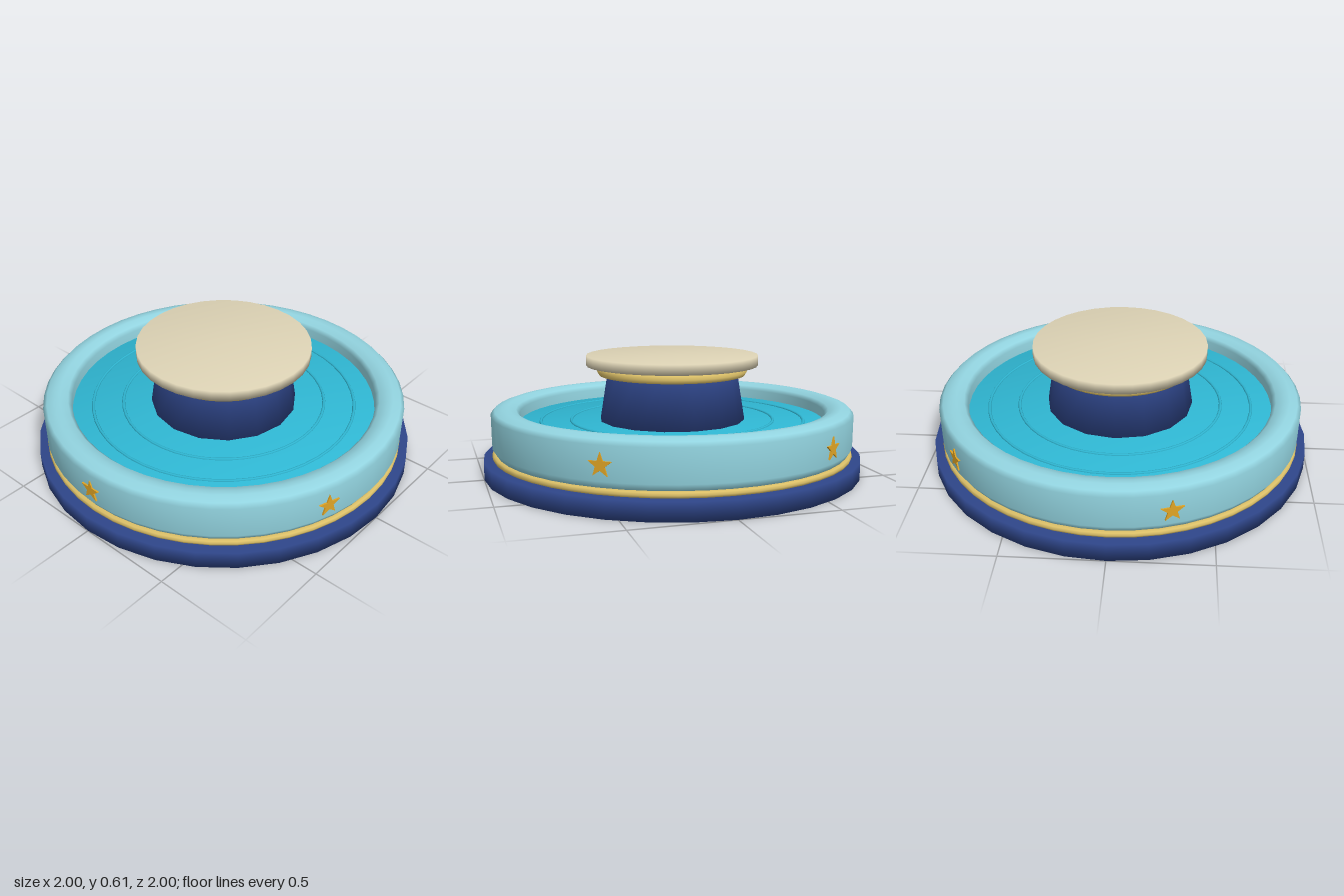
import * as THREE from 'three';
import { mergeVertices } from 'three/addons/utils/BufferGeometryUtils.js';

const material = (name, color) => {
  const m = new THREE.MeshStandardMaterial({ color });
  m.name = name;
  return m;
};

// Weld corners so the shading runs smoothly over rims and caps
function smooth(geometry) {
  geometry.deleteAttribute('uv');
  geometry.deleteAttribute('normal');
  const welded = mergeVertices(geometry, 1e-4);
  welded.computeVertexNormals();
  return welded;
}

export function createModel() {
  const model = new THREE.Group();
  model.name = 'spinningRide';
  const navy = material('navy blue', 0x2e4588);
  const paleBlue = material('pale blue', 0x92d3df);
  const water = material('turquoise', 0x2fb7d3);
  const brass = material('pale gold', 0xdcc068);
  const starGold = material('star gold', 0xe0a526);
  const cream = material('cream', 0xddd3b5);

  const add = (name, geometry, mat) => {
    const mesh = new THREE.Mesh(geometry, mat);
    mesh.name = name;
    model.add(mesh);
    return mesh;
  };
  // Disc or tapered drum between two heights
  const drum = (name, rTop, rBottom, y0, y1, sides, mat) => {
    const g = new THREE.CylinderGeometry(rTop, rBottom, y1 - y0, sides);
    add(name, smooth(g.translate(0, (y0 + y1) / 2, 0)), mat);
  };
  // Horizontal hoop
  const hoop = (name, radius, tube, y, sides, mat) => {
    const g = new THREE.TorusGeometry(radius, tube, sides, 48);
    add(name, g.rotateX(Math.PI / 2).translate(0, y, 0), mat);
  };

  // Base and floor
  drum('base', 1, 1, 0, 0.092, 32, navy);
  hoop('baseTrim', 0.937, 0.017, 0.106, 8, brass);
  drum('poolFloor', 0.815, 0.815, 0.1, 0.27, 48, water);
  hoop('outerRipple', 0.698, 0.008, 0.27, 6, water);
  hoop('innerRipple', 0.538, 0.008, 0.27, 6, water);

  // Rounded outer wall, profile from outside bottom over the top to inside bottom
  const profile = [
    [0.82, 0.118], [0.93, 0.118], [0.953, 0.155], [0.955, 0.32], [0.935, 0.341], [0.895, 0.355],
    [0.865, 0.355], [0.825, 0.341], [0.806, 0.32], [0.806, 0.155], [0.82, 0.118],
  ].map(([r, y]) => new THREE.Vector2(r, y));
  add('outerWall', smooth(new THREE.LatheGeometry(profile, 48)), paleBlue);

  // Centre column and table
  drum('column', 0.34, 0.389, 0.26, 0.562, 16, navy);
  hoop('columnTrim', 0.375, 0.024, 0.53, 6, brass);
  drum('tableTop', 0.455, 0.455, 0.56, 0.613, 32, cream);

  // Five stars around the wall
  const star = new THREE.Shape();
  for (let i = 0; i < 10; i++) {
    const r = i % 2 ? 0.024 : 0.06;
    const a = Math.PI / 2 + (i * Math.PI) / 5;
    star[i ? 'lineTo' : 'moveTo'](r * Math.cos(a), r * Math.sin(a));
  }
  const starGeometry = new THREE.ExtrudeGeometry(star, { depth: 0.009, bevelEnabled: false });
  starGeometry.translate(0, 0.23, 0.951);
  for (let i = 0; i < 5; i++) {
    add('star' + (i + 1), starGeometry, starGold).rotation.y = (i * Math.PI * 2) / 5;
  }
  return model;
}
